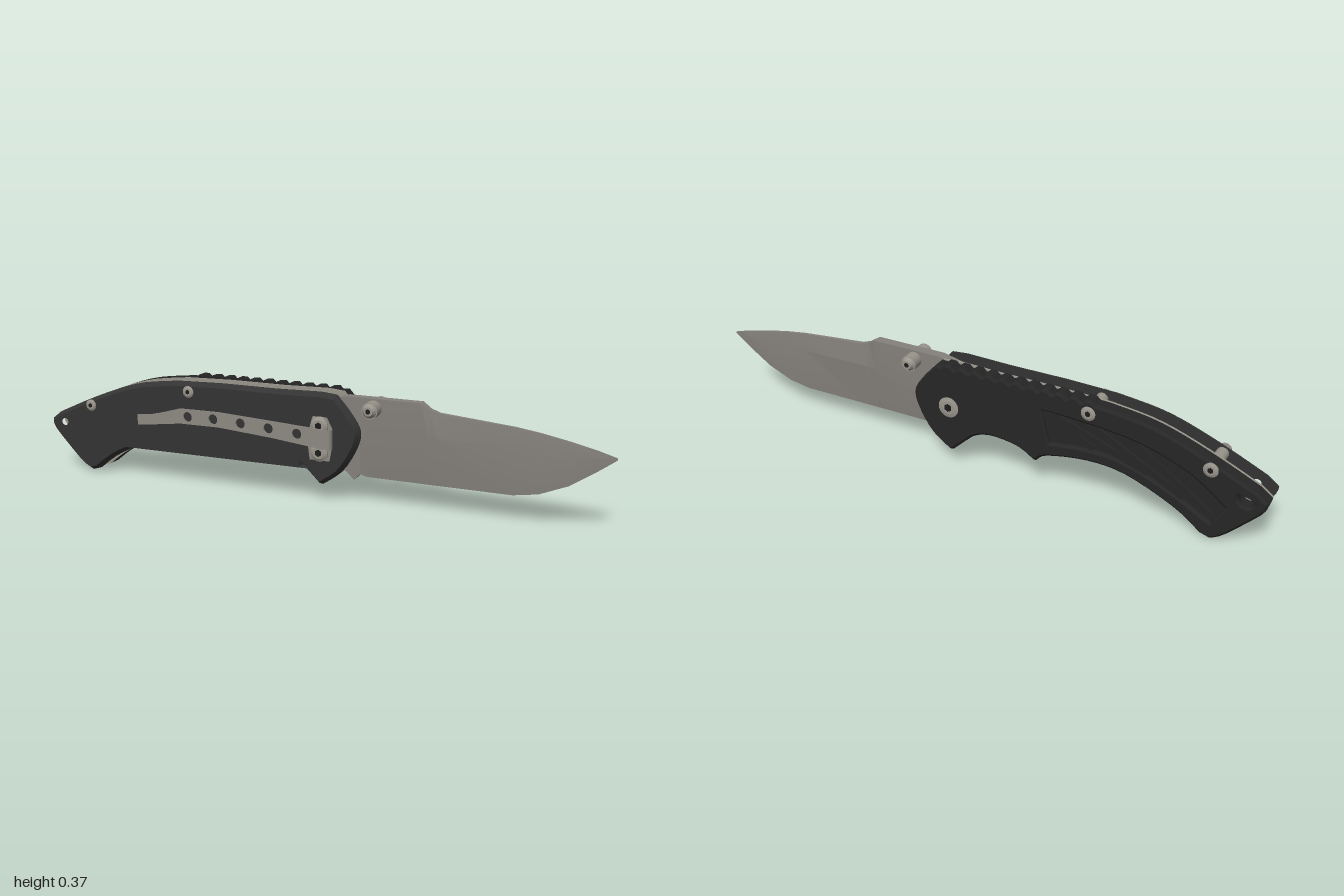
import * as THREE from 'three';
import { toCreasedNormals } from 'three/addons/utils/BufferGeometryUtils.js';

const mat = (name, color, side = THREE.FrontSide) => {
  const m = new THREE.MeshStandardMaterial({ color, side });
  m.name = name;
  return m;
};

const smooth = (pts, n) => new THREE.SplineCurve(pts.map(p => new THREE.Vector2(...p))).getPoints(n).map(v => [v.x, v.y]);

// Handle outline, with optional thumb grooves along the spine
function handleOutline(grooves) {
  const top = smooth([[-0.96, 0.205], [-0.79, 0.28], [-0.63, 0.335], [-0.47, 0.358]], 14);
  const spine = [];
  if (grooves) {
    for (let i = 0; i < 11; i++) {
      const x = -0.44 + i * 0.049;
      spine.push([x, 0.359], [x + 0.012, 0.37], [x + 0.032, 0.371], [x + 0.044, 0.36]);
    }
  } else spine.push([-0.3, 0.363], [-0.1, 0.363], [0.06, 0.367]);
  const nose = smooth([[0.115, 0.362], [0.165, 0.305], [0.197, 0.25], [0.185, 0.19], [0.135, 0.11], [0.068, 0.06]], 16);
  const finger = smooth([[0.055, 0.062], [0.01, 0.105], [-0.03, 0.138], [-0.09, 0.152], [-0.18, 0.14], [-0.238, 0.107]], 16);
  const belly = smooth([[-0.247, 0.107], [-0.285, 0.135], [-0.42, 0.157], [-0.55, 0.145], [-0.71, 0.078], [-0.8, 0.014]], 20);
  const butt = smooth([[-0.832, 0.004], [-0.87, 0.026], [-0.94, 0.095], [-0.985, 0.145], [-0.995, 0.178]], 10);
  return [...top, ...spine, ...nose, ...finger, ...belly, ...butt];
}

// Flat plate from |z| = z0 to z1 with its outer rim chamfered; side -1 faces the back
function plate(points, { holes = [], cuts = [], z0, z1, bevel = 0, rise = bevel, side = 1 }) {
  const flip = pts => pts.map(([x, y]) => new THREE.Vector2(x * side, y));
  const shape = new THREE.Shape(flip(points));
  for (const [x, y, r] of holes) shape.holes.push(new THREE.Path().absarc(x * side, y, r, 0, Math.PI * 2, true));
  for (const cut of cuts) shape.holes.push(new THREE.Path(flip(cut)));
  const g = new THREE.ExtrudeGeometry(shape, {
    depth: z1 - z0 - rise, bevelEnabled: bevel > 0, bevelSize: bevel, bevelThickness: rise,
    bevelOffset: -bevel, bevelSegments: 1, curveSegments: 10,
  });
  const p = g.attributes.position;
  for (let i = 0; i < p.count; i++) if (p.getZ(i) < 0) p.setZ(i, 0); // keep the inner face flat
  g.translate(0, 0, z0);
  if (side < 0) g.rotateY(Math.PI);
  return toCreasedNormals(g, 0.45);
}

// Blade: hexagonal sections [x, spine, ridge, edge, spine half width, ridge half width, edge half width]
function bladeGeometry() {
  const rows = [
    [-0.02, 0.26, 0.22, 0.18, 0.017, 0.017, 0.017],
    [0.02, 0.33, 0.23, 0.13, 0.017, 0.017, 0.017],
    [0.14, 0.357, 0.25, 0.11, 0.017, 0.017, 0.017],
    [0.17, 0.357, 0.25, 0.083, 0.017, 0.017, 0.017],
    [0.19, 0.357, 0.25, 0.103, 0.017, 0.017, 0.016],
    [0.21, 0.357, 0.25, 0.093, 0.017, 0.017, 0.003],
    [0.39, 0.357, 0.25, 0.092, 0.017, 0.016, 0.001],
    [0.42, 0.338, 0.25, 0.092, 0.01, 0.015, 0.001],
    [0.45, 0.328, 0.25, 0.092, 0.008, 0.014, 0.001],
    [0.69, 0.308, 0.245, 0.092, 0.005, 0.01, 0.001],
    [0.77, 0.297, 0.243, 0.105, 0.004, 0.008, 0.001],
    [0.86, 0.28, 0.24, 0.142, 0.003, 0.006, 0.001],
    [0.94, 0.262, 0.24, 0.195, 0.002, 0.004, 0.001],
    [1.0, 0.245, 0.242, 0.239, 0.0005, 0.0005, 0.0005],
  ];
  const rings = rows.map(([x, a, b, c, ta, tb, tc]) =>
    [[x, a, ta], [x, b, tb], [x, c, tc], [x, c, -tc], [x, b, -tb], [x, a, -ta]]);
  const v = [];
  const tri = (...pts) => pts.forEach(p => v.push(...p));
  for (let i = 0; i < rings.length - 1; i++) {
    for (let j = 0; j < 6; j++) {
      const k = (j + 1) % 6, A = rings[i], B = rings[i + 1];
      tri(A[j], A[k], B[k]);
      tri(A[j], B[k], B[j]);
    }
  }
  const s = rings[0], e = rings[rings.length - 1];
  for (let j = 1; j < 5; j++) {
    tri(s[0], s[j + 1], s[j]);
    tri(e[0], e[j], e[j + 1]);
  }
  const g = new THREE.BufferGeometry();
  g.setAttribute('position', new THREE.Float32BufferAttribute(v, 3));
  g.computeVertexNormals();
  return toCreasedNormals(g, 0.15);
}

export function createModel() {
  const model = new THREE.Group();
  const frontBlack = mat('charcoal', 0x333333);
  const backBlack = mat('black grip', 0x262626);
  const steel = mat('blade steel', 0x85817c);
  const hardware = mat('hardware steel', 0x99958c);
  const clipSteel = mat('clip steel', 0x8d8981, THREE.DoubleSide);
  const dark = mat('socket dark', 0x1c1c1c);

  const add = (name, geometry, material, parent = model) => {
    const m = new THREE.Mesh(geometry, material);
    m.name = name;
    parent.add(m);
    return m;
  };
  // Round bar along z
  const rod = (name, x, y, za, zb, ra, rb = ra, material = hardware, parent = model) =>
    add(name, new THREE.CylinderGeometry(rb, ra, Math.abs(zb - za), 24).rotateX(Math.PI / 2 * Math.sign(zb - za))
      .translate(x, y, (za + zb) / 2), material, parent);
  // Domed screw head with a dark hexagonal socket
  const screw = (name, x, y, z, r, h, side = 1) => {
    const g = new THREE.Group();
    g.name = name;
    model.add(g);
    rod('head', x, y, z, z + side * h * 0.5, r, r, hardware, g);
    rod('dome', x, y, z + side * h * 0.5, z + side * h, r, r * 0.65, hardware, g);
    add('socket', new THREE.CylinderGeometry(r * 0.4, r * 0.4, 0.002, 6).rotateX(Math.PI / 2)
      .translate(x, y, z + side * h), dark, g);
  };

  // Handle sides
  const lanyard = [-0.93, 0.174, 0.026];
  const plain = handleOutline(false), grooved = handleOutline(true);
  const slot = [[0.003, 0.125], [0.011, 0.125], [0.011, 0.2], [0.003, 0.2]];
  add('frontScale', plate(plain, { holes: [lanyard], cuts: [slot], z0: 0.027, z1: 0.053, bevel: 0.013, rise: 0.021 }), frontBlack);
  add('backLiner', plate(plain, { holes: [lanyard], z0: 0.027, z1: 0.036, side: -1 }), hardware);
  add('backScaleBase', plate(grooved, { holes: [lanyard], z0: 0.036, z1: 0.068, side: -1 }), backBlack);

  // Outer layer of the back side with a sunken panel and ribs
  const pocket = [...smooth([[-0.26, 0.295], [-0.42, 0.288], [-0.6, 0.265], [-0.76, 0.205], [-0.87, 0.125]], 12),
    ...smooth([[-0.83, 0.06], [-0.7, 0.13], [-0.55, 0.188], [-0.42, 0.2], [-0.29, 0.185]], 12)];
  add('backScaleFace', plate(grooved, { holes: [lanyard], cuts: [pocket], z0: 0.068, z1: 0.083, bevel: 0.008, side: -1 }), backBlack);
  const ribs = [[-0.27, 0.288, -0.44, 0.205], [-0.3, 0.288, -0.62, 0.17], [-0.44, 0.278, -0.74, 0.12], [-0.58, 0.258, -0.83, 0.08]];
  for (const [xa, ya, xb, yb] of ribs) {
    const rib = add('gripRib', new THREE.BoxGeometry(Math.hypot(xb - xa, yb - ya), 0.022, 0.012), backBlack);
    rib.position.set((xa + xb) / 2, (ya + yb) / 2, -0.072);
    rib.rotation.z = Math.atan2(yb - ya, xb - xa);
  }

  // Blade, pivot and thumb stud
  add('blade', bladeGeometry(), steel);
  rod('pivotBarrel', 0.068, 0.215, -0.03, 0.03, 0.045);
  screw('pivotScrew', 0.068, 0.22, -0.082, 0.036, 0.006, -1);
  for (const s of [1, -1]) {
    rod('thumbStud', 0.235, 0.325, 0.012 * s, 0.054 * s, 0.027);
    rod('thumbStudCap', 0.235, 0.325, 0.054 * s, 0.067 * s, 0.024, 0.015);
    rod('thumbStudDimple', 0.235, 0.325, 0.066 * s, 0.068 * s, 0.008, 0.008, dark);
  }

  // Spacers joining the sides, with a screw at each end
  for (const [x, y] of [[-0.815, 0.245], [-0.42, 0.328]]) {
    rod('spacer', x, y, -0.03, 0.03, 0.02);
    screw('frontScrew', x, y, 0.052, 0.02, 0.007);
    screw('backScrew', x, y, -0.08, 0.024, 0.007, -1);
  }
  rod('stopPin', -0.03, 0.31, -0.03, 0.03, 0.02);

  // Pocket clip: mounting plate, folded end, perforated arm and flared tip
  const clip = new THREE.Group();
  clip.name = 'pocketClip';
  model.add(clip);
  add('mountPlate', plate([[0.03, 0.145], [0.1, 0.145], [0.108, 0.19], [0.108, 0.255], [0.09, 0.29], [0.04, 0.29], [0.02, 0.22]],
    { z0: 0.052, z1: 0.056 }), clipSteel, clip);
  screw('clipScrewTop', 0.065, 0.262, 0.055, 0.03, 0.012);
  screw('clipScrewBottom', 0.065, 0.172, 0.055, 0.03, 0.012);
  add('fold', new THREE.CylinderGeometry(0.015, 0.015, 0.065, 16, 1, true, 0, Math.PI)
    .translate(0.1, 0.2225, 0.069), clipSteel, clip);

  const armHoles = [[-0.42, 0.243], [-0.32, 0.246], [-0.215, 0.243], [-0.11, 0.238], [-0.005, 0.232]];
  const lean = (g, xa, za, xb, zb) => {
    const p = g.attributes.position;
    for (let i = 0; i < p.count; i++) p.setZ(i, p.getZ(i) + za + (p.getX(i) - xa) / (xb - xa) * (zb - za));
    g.computeVertexNormals();
    return g;
  };
  const arm = plate([[-0.53, 0.206], [-0.45, 0.217], [-0.3, 0.22], [-0.1, 0.208], [0.1, 0.19],
    [0.1, 0.255], [-0.1, 0.264], [-0.3, 0.272], [-0.45, 0.269], [-0.53, 0.246]],
  { holes: armHoles.map(([x, y]) => [x, y, 0.017]), z0: 0, z1: 0.005 });
  add('arm', lean(arm, -0.53, 0.053, 0.1, 0.08), clipSteel, clip);
  const tip = plate([[-0.61, 0.2], [-0.53, 0.206], [-0.53, 0.246], [-0.56, 0.24], [-0.61, 0.237]], { z0: 0, z1: 0.005 });
  add('tip', lean(tip, -0.61, 0.071, -0.53, 0.053), clipSteel, clip);

  return model;
}
